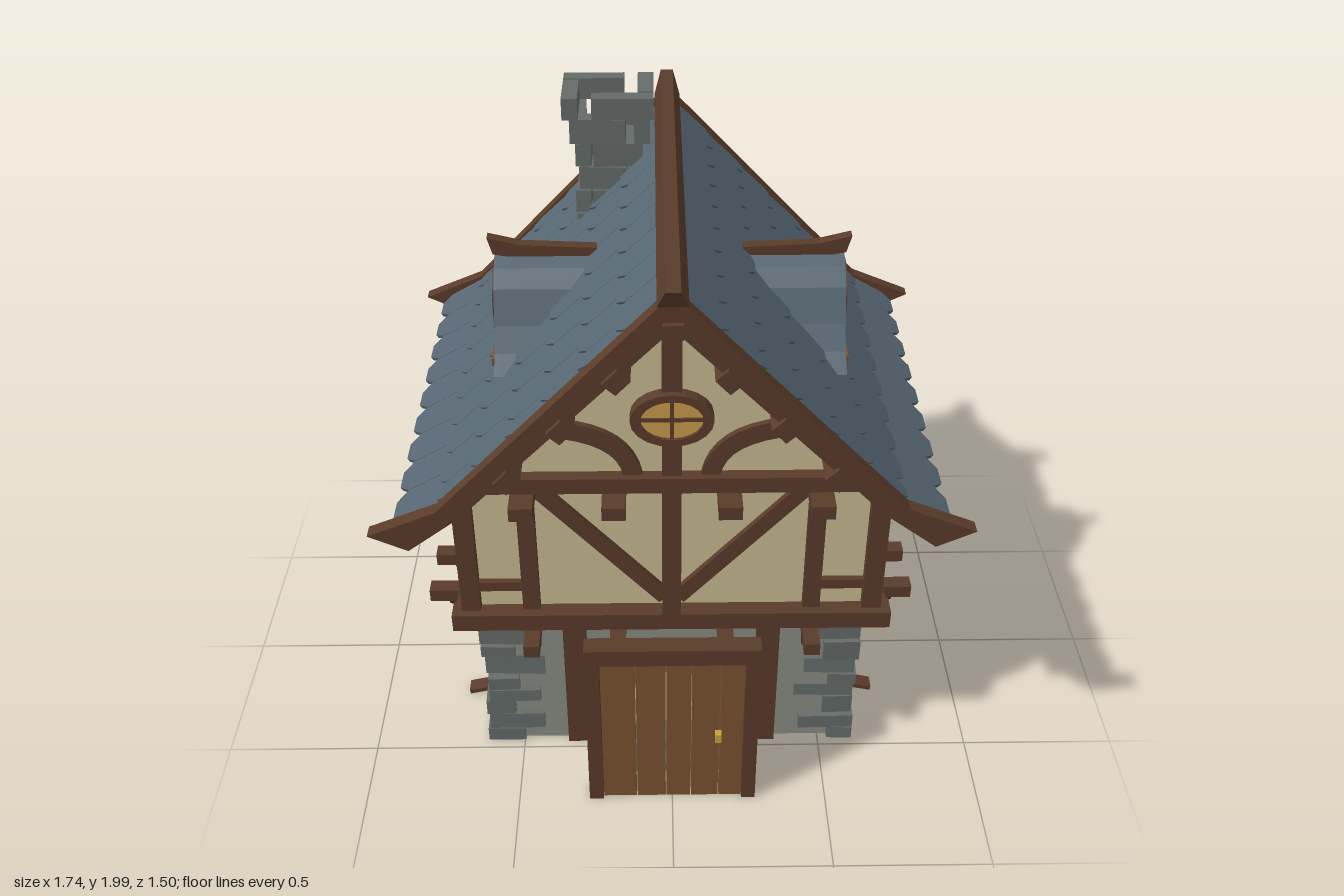
import * as THREE from 'three';
import { mergeGeometries } from 'three/addons/utils/BufferGeometryUtils.js';

const mat = (color) => new THREE.MeshStandardMaterial({ color, flatShading: true, side: THREE.DoubleSide });
const TIMBER = mat(0x5a3c2a), PLASTER = mat(0xcbbb94), SLATE = mat(0x566672), STONE = mat(0x656c69);
const WALL = mat(0x888d83), GLASS = mat(0xc99a4a), DOOR = mat(0x7a5230), GOLD = mat(0xc9a040), DARK = mat(0x35251b);

let seed = 7;
const rnd = (a, b) => { seed = (seed * 16807) % 2147483647; return a + (b - a) * seed / 2147483647; };

function add(parent, name, geo, material, x = 0, y = 0, z = 0) {
  const m = new THREE.Mesh(geo, material);
  m.name = name;
  m.position.set(x, y, z);
  parent.add(m);
  return m;
}
// box given by its min and max on each axis
const box = (p, name, material, x0, x1, y0, y1, z0, z1) =>
  add(p, name, new THREE.BoxGeometry(Math.abs(x1 - x0), y1 - y0, Math.abs(z1 - z0)), material, (x0 + x1) / 2, (y0 + y1) / 2, (z0 + z1) / 2);
// straight timber between two points; w across x, d across z before turning
function beam(p, name, a, b, w, d, material = TIMBER) {
  const A = new THREE.Vector3(...a), B = new THREE.Vector3(...b), dir = B.clone().sub(A);
  const m = add(p, name, new THREE.BoxGeometry(w, dir.length(), d), material);
  m.position.copy(A).add(B).multiplyScalar(0.5);
  m.quaternion.setFromUnitVectors(new THREE.Vector3(0, 1, 0), dir.normalize());
  return m;
}
const poly = (pts) => new THREE.Shape(pts.map(([x, y]) => new THREE.Vector2(x, y)));
const mirrored = (half) => poly([...half, ...half.filter(([x]) => x !== 0).reverse().map(([x, y]) => [-x, y])]);
const extrude = (shape, depth) => new THREE.ExtrudeGeometry(shape, { depth, bevelEnabled: false, curveSegments: 10 });
function arch(hw, spring, y = 0) {
  const s = new THREE.Shape();
  s.moveTo(-hw, y); s.lineTo(hw, y); s.lineTo(hw, y + spring);
  s.absarc(0, y + spring, hw, 0, Math.PI, false);
  s.closePath();
  return s;
}
function group(parent, name) {
  const g = new THREE.Group();
  g.name = name;
  parent.add(g);
  return g;
}
// arched window facing +z, standing on its own y = 0
function archWindow(parent, hw, spring, rim) {
  const g = group(parent, 'archedWindow');
  const frame = arch(hw + rim, spring + rim, -rim);
  frame.holes.push(arch(hw, spring));
  add(g, 'windowFrame', extrude(frame, 0.035), TIMBER);
  add(g, 'windowGlass', extrude(arch(hw, spring), 0.01), GLASS, 0, 0, 0.008);
  box(g, 'mullion', TIMBER, -0.006, 0.006, 0, spring + hw, 0.015, 0.028);
  box(g, 'transom', TIMBER, -hw, hw, spring - 0.006, spring + 0.006, 0.015, 0.028);
  return g;
}
function stone(p, w, h, d, x, y, z) {
  const m = add(p, 'stone', new THREE.BoxGeometry(w, h, d), STONE, x, y, z);
  m.rotation.set(rnd(-0.03, 0.03), rnd(-0.04, 0.04), 0);
}

function groundFloor(root) {
  const g = group(root, 'groundFloor');
  const front = poly([[-0.6, 0], [0.6, 0], [0.6, 0.57], [-0.6, 0.57]]);
  front.holes.push(arch(0.15, 0.2, 0.002));
  add(g, 'frontWall', extrude(front, 0.02), WALL, 0, 0, 0.43);
  box(g, 'backWall', WALL, -0.6, 0.6, 0, 0.57, -0.45, -0.43);
  for (const s of [-1, 1]) {
    box(g, 'sideWall', WALL, s * 0.58, s * 0.6, 0, 0.57, -0.45, 0.45);
    // posts, with splayed feet on the sides
    for (const f of [-1, 1]) box(g, 'post', TIMBER, s * 0.275, s * 0.35, 0, 0.57, f * 0.44, f * 0.475);
    for (const z of [0.225, -0.21]) {
      box(g, 'sidePost', TIMBER, s * 0.59, s * 0.62, 0, 0.57, z - 0.025, z + 0.025);
      beam(g, 'postFoot', [s * 0.6, 0.035, z], [s * 0.71, 0.009, z], 0.016, 0.05);
    }
    // corner quoins, alternately long on each face
    for (const f of [-1, 1]) {
      let y = 0, n = 0;
      while (y < 0.54) {
        const h = Math.min(rnd(0.05, 0.09), 0.57 - y), long = n++ % 2;
        const w = long ? rnd(0.15, 0.2) : rnd(0.08, 0.13), d = long ? rnd(0.08, 0.12) : rnd(0.14, 0.19);
        const ox = rnd(0.605, 0.625), oz = rnd(0.455, 0.475);
        stone(g, w, h - 0.005, d, s * (ox - w / 2), y + h / 2, f * (oz - d / 2));
        y += h;
      }
    }
    // low footing along the sides and the back
    for (let z = -0.28; z < 0.3; z += 0.075) {
      const h = rnd(0.05, 0.1);
      stone(g, 0.035, h, 0.07, s * 0.6, h / 2 + 0.002, z);
    }
  }
  for (let x = -0.44; x < 0.46; x += 0.08) {
    const h = rnd(0.04, 0.09);
    stone(g, 0.075, h, 0.03, x, h / 2 + 0.002, -0.45);
  }
  // stone doorway and steps
  const d = group(g, 'stoneDoorway');
  for (const s of [-1, 1]) for (let i = 0; i < 3; i++) stone(d, 0.07, 0.064, 0.08, s * 0.185, 0.035 + i * 0.067, 0.465);
  for (let i = 0; i < 9; i++) {
    const a = (i + 0.5) * Math.PI / 9;
    add(d, 'archStone', new THREE.BoxGeometry(0.07, 0.064, 0.08), STONE, 0.185 * Math.cos(a), 0.205 + 0.185 * Math.sin(a), 0.465).rotation.z = a;
  }
  box(d, 'lowerStep', STONE, -0.17, 0.17, 0, 0.035, 0.45, 0.61);
  box(d, 'upperStep', STONE, -0.15, 0.15, 0.035, 0.07, 0.45, 0.55);
}

function frontDoor(root) {
  const g = group(root, 'frontDoor');
  for (const s of [-1, 1]) box(g, 'doorJamb', TIMBER, s * 0.225, s * 0.27, 0, 0.62, 0.665, 0.725);
  box(g, 'doorLintel', TIMBER, -0.27, 0.27, 0.615, 0.663, 0.665, 0.725);
  box(g, 'doorHead', TIMBER, -0.225, 0.225, 0.595, 0.615, 0.67, 0.718);
  const edges = [-0.225, -0.115, -0.02, 0.06, 0.15, 0.225];
  for (let i = 0; i < 5; i++) box(g, 'plank', DOOR, edges[i] + 0.0015, edges[i + 1] - 0.0015, 0, 0.597, 0.675, 0.712);
  box(g, 'doorHandle', GOLD, 0.135, 0.155, 0.27, 0.305, 0.71, 0.735);
}

// joist end with a small slanted bracket; along is the unit direction [x, z] it points
function joist(g, [ax, az], side, y, from, to, w) {
  const p = (t, yy) => ax ? [ax * t, yy, side] : [side, yy, az * t];
  beam(g, 'joist', p(from, y), p(to, y), ax ? 0.045 : w, ax ? w : 0.045);
  const t = Math.min(to - 0.07, from + 0.15);
  beam(g, 'joistBracket', p(t - 0.08, y - 0.09), p(t + 0.02, y - 0.02), 0.035, 0.035, DARK);
}

function upperFloor(root) {
  const g = group(root, 'upperFloor');
  box(g, 'plasterWalls', PLASTER, -0.625, 0.625, 0.575, 1.16, -0.475, 0.475);
  const gable = poly([[-0.62, 1.14], [0.62, 1.14], [0, 1.79]]);
  add(g, 'gablePlaster', extrude(gable, 1.02), PLASTER, 0, 0, -0.51);
  for (const f of [-1, 1]) {
    box(g, 'floorBeam', TIMBER, -0.69, 0.69, 0.57, 0.632, f * 0.46, f * 0.53);
    box(g, 'gableBeam', TIMBER, -0.66, 0.66, 1.13, 1.183, f * 0.46, f * 0.55);
    box(g, 'kingPost', TIMBER, -0.029, 0.029, 0.63, 1.8, f * 0.46, f * 0.535);
    for (const s of [-1, 1]) {
      box(g, 'cornerPost', TIMBER, s * 0.6, s * 0.66, 0.63, 1.14, f * 0.44, f * 0.505);
      box(g, 'stud', TIMBER, s * 0.413, s * 0.467, 0.63, 1.14, f * 0.46, f * 0.5);
      box(g, 'rail', TIMBER, s * 0.46, s * 0.61, 0.705, 0.74, f * 0.46, f * 0.495);
      beam(g, 'diagonalBrace', [s * 0.41, 1.11, f * 0.48], [s * 0.02, 0.67, f * 0.48], 0.05, 0.03);
      // curved brace in the gable
      const curve = new THREE.Shape();
      curve.moveTo(0.44, 1.375); curve.quadraticCurveTo(0.12, 1.39, 0.085, 1.18);
      curve.lineTo(0.142, 1.18); curve.quadraticCurveTo(0.16, 1.33, 0.48, 1.325);
      const m = add(g, 'curvedBrace', extrude(curve, 0.03), TIMBER, 0, 0, f > 0 ? 0.5 : -0.53);
      if (s < 0) { m.rotation.y = Math.PI; m.position.z += 0.03; }
      for (const x of [0.44, 0.17]) {
        joist(g, [0, f], s * x, 1.107, 0.45, 0.62, 0.07);
        joist(g, [0, f], s * x, 0.543, 0.42, 0.6, 0.05);
      }
      for (const [x, y] of [[0.46, 1.295], [0.305, 1.465], [0.15, 1.625]])
        add(g, 'purlin', new THREE.BoxGeometry(0.06, 0.05, 0.22), TIMBER, s * x, y, f * 0.605).rotation.z = -s * 0.82;
    }
    box(g, 'ridgeBeam', TIMBER, -0.028, 0.028, 1.755, 1.8, f * 0.5, f * 0.715);
    // oval gable window
    const w = group(g, 'ovalWindow');
    w.position.set(0, 1.39, f * 0.535);
    const ring = new THREE.Shape().absellipse(0, 0, 0.12, 0.088, 0, Math.PI * 2);
    ring.holes.push(new THREE.Path().absellipse(0, 0, 0.09, 0.065, 0, Math.PI * 2));
    add(w, 'ovalFrame', extrude(ring, 0.04), TIMBER, 0, 0, -0.02);
    add(w, 'ovalGlass', new THREE.CylinderGeometry(1, 1, 0.02, 20).rotateX(Math.PI / 2).scale(0.095, 0.07, 1), GLASS);
    box(w, 'mullion', TIMBER, -0.006, 0.006, -0.07, 0.07, -0.015, 0.015);
    box(w, 'transom', TIMBER, -0.095, 0.095, -0.006, 0.006, -0.015, 0.015);
  }
  for (const s of [-1, 1]) {
    box(g, 'sideFloorBeam', TIMBER, s * 0.6, s * 0.68, 0.57, 0.632, -0.53, 0.53);
    box(g, 'sideRail', TIMBER, s * 0.61, s * 0.645, 0.705, 0.74, -0.48, 0.48);
    box(g, 'wallPlate', TIMBER, s * 0.6, s * 0.655, 1.1, 1.15, -0.5, 0.5);
    for (const f of [-1, 1]) {
      box(g, 'sideStud', TIMBER, s * 0.61, s * 0.65, 0.63, 1.14, f * 0.155, f * 0.19);
      beam(g, 'sideBrace', [s * 0.63, 1.08, f * 0.46], [s * 0.63, 0.73, f * 0.18], 0.03, 0.045);
    }
    for (const z of [0.31, 0.13, -0.11, -0.29]) joist(g, [s, 0], z, 0.543, 0.55, 0.79, 0.05);
    const w = archWindow(g, 0.078, 0.085, 0.022);
    w.position.set(s * 0.645, 0.775, 0.01);
    w.rotation.y = s * Math.PI / 2;
    box(g, 'windowSill', STONE, s * 0.62, s * 0.69, 0.748, 0.772, -0.115, 0.135);
  }
}

function roof(root) {
  const g = group(root, 'roof');
  const slab = mirrored([[0, 1.79], [0.62, 1.13], [0.75, 1.06], [0.77, 1.08], [0.64, 1.165], [0, 1.84]]);
  add(g, 'roofDeck', extrude(slab, 1.32), SLATE, 0, 0, -0.66);
  const board = mirrored([[0, 1.78], [0.6, 1.165], [0.757, 1.045], [0.87, 1.1], [0.67, 1.183], [0, 1.885]]);
  for (const z of [0.655, -0.7]) add(g, 'bargeboard', extrude(board, 0.045), TIMBER, 0, 0, z);
  const cap = add(g, 'ridgeCap', extrude(poly([[-0.042, 1.85], [0.042, 1.85], [0.02, 1.918], [-0.02, 1.918]]), 1.5), TIMBER, 0, 0, -0.75);
  const p = cap.geometry.attributes.position; // ends lean outward
  for (let i = 0; i < p.count; i++) if (p.getY(i) < 1.9) p.setZ(i, 0.75 + (p.getZ(i) - 0.75) * 0.94);
  cap.geometry.computeVertexNormals();

  // overlapping pointed slates, one kicked eave row and six rows up the slope
  const n = 9, w = 1.3 / n, tiles = [], slate = w / 2 - 0.0015;
  const tile = extrude(poly([[-slate, 0.035], [-w / 4, 0], [w / 4, 0], [slate, 0.035], [slate, 0.185], [-slate, 0.185]]), 0.014);
  for (let r = 0; r < 7; r++) {
    const t = (r - 1) * 0.152, slope = 0.812;
    const [x, y, a] = r ? [0.665 - t * Math.cos(slope), 1.165 + t * Math.sin(slope), slope - 0.05] : [0.8, 1.085, 0.52];
    const c = Math.cos(a), s = Math.sin(a), odd = r % 2;
    for (let i = 0; i < n + odd; i++) {
      const half = odd && (i === 0 || i === n);
      const z = half ? (i ? 1 : -1) * (0.65 - w / 4) : -0.65 + w * (i + (odd ? 0 : 0.5));
      const m = new THREE.Matrix4().makeBasis(new THREE.Vector3(0, 0, -1), new THREE.Vector3(-c, s, 0), new THREE.Vector3(s, c, 0));
      m.scale(new THREE.Vector3(half ? 0.5 : 1, 1, 1)).setPosition(x, y, z);
      tiles.push(tile.clone().applyMatrix4(m));
    }
  }
  const slates = mergeGeometries(tiles);
  for (const s of [0, 1]) {
    add(g, 'slates', slates, SLATE).rotation.y = s * Math.PI;
    // dormer built facing +z, then turned to each side
    const d = group(g, 'dormer');
    d.rotation.y = s ? -Math.PI / 2 : Math.PI / 2;
    const outer = [[0.26, 1.35], [0.2, 1.395], [0.155, 1.465], [0.11, 1.565], [0.06, 1.61], [0, 1.635]];
    const hood = mirrored([...outer, [0, 1.61], [0.05, 1.585], [0.09, 1.545], [0.135, 1.45], [0.17, 1.4], [0.2, 1.35]].slice(0, 6));
    add(d, 'dormerHood', extrude(hood, 0.39), SLATE, 0, 0, 0.12);
    add(d, 'dormerFace', extrude(mirrored([[0.21, 1.36], [0.155, 1.42], [0.115, 1.53], [0.06, 1.585], [0, 1.605]]), 0.02), TIMBER, 0, 0, 0.5);
    const lip = mirrored(outer);
    lip.holes.push(mirrored([[0.215, 1.355], [0.16, 1.43], [0.115, 1.53], [0.06, 1.585], [0, 1.605]]));
    add(d, 'dormerLip', extrude(lip, 0.025), SLATE, 0, 0, 0.505);
    archWindow(d, 0.09, 0.115, 0.016).position.set(0, 1.382, 0.502);
    box(d, 'dormerSill', DOOR, -0.205, 0.205, 1.355, 1.38, 0.49, 0.54);
    const ridge = poly([[0.22, 1.655], [0.45, 1.665], [0.55, 1.69], [0.535, 1.635], [0.45, 1.62], [0.22, 1.615]]);
    add(d, 'dormerRidge', extrude(ridge, 0.036).rotateY(-Math.PI / 2), TIMBER, 0.018);
  }
}

// hollow chimney of staggered blocks, flaring at the top
function chimney(root) {
  const g = group(root, 'chimney');
  const rows = [[1.5, 0.1, 0.09], [1.6, 0.1, 0.088], [1.68, 0.1, 0.088], [1.76, 0.105, 0.09], [1.84, 0.125, 0.1], [1.925, 0.143, 0.11], [1.998, 0, 0]];
  for (let r = 0; r < 6; r++) {
    const [y, hx, hz] = rows[r], h = rows[r + 1][0] - y - 0.004, ym = y + h / 2, k = r % 2 ? 1 : -1;
    const cx = -0.188 + (r === 5 ? 0 : rnd(-0.01, 0.01)), cz = -0.42, tx = hx - 0.05, tz = hz - 0.05;
    for (const s of [-1, 1]) {
      const sx = add(g, 'chimneyBlock', new THREE.BoxGeometry(2 * hx - tx, h, hz - tz), STONE, cx + s * k * tx / 2, ym, cz + s * (hz + tz) / 2);
      const sz = add(g, 'chimneyBlock', new THREE.BoxGeometry(hx - tx, h, 2 * hz - tz), STONE, cx + s * (hx + tx) / 2, ym, cz - s * k * tz / 2);
      if (r < 5) { sx.rotation.y = rnd(-0.06, 0.06); sz.rotation.y = rnd(-0.06, 0.06); }
    }
  }
}

export function createModel() {
  const root = new THREE.Group();
  root.name = 'timberFramedHouse';
  for (const build of [groundFloor, frontDoor, upperFloor, roof, chimney]) build(root);
  return root;
}
